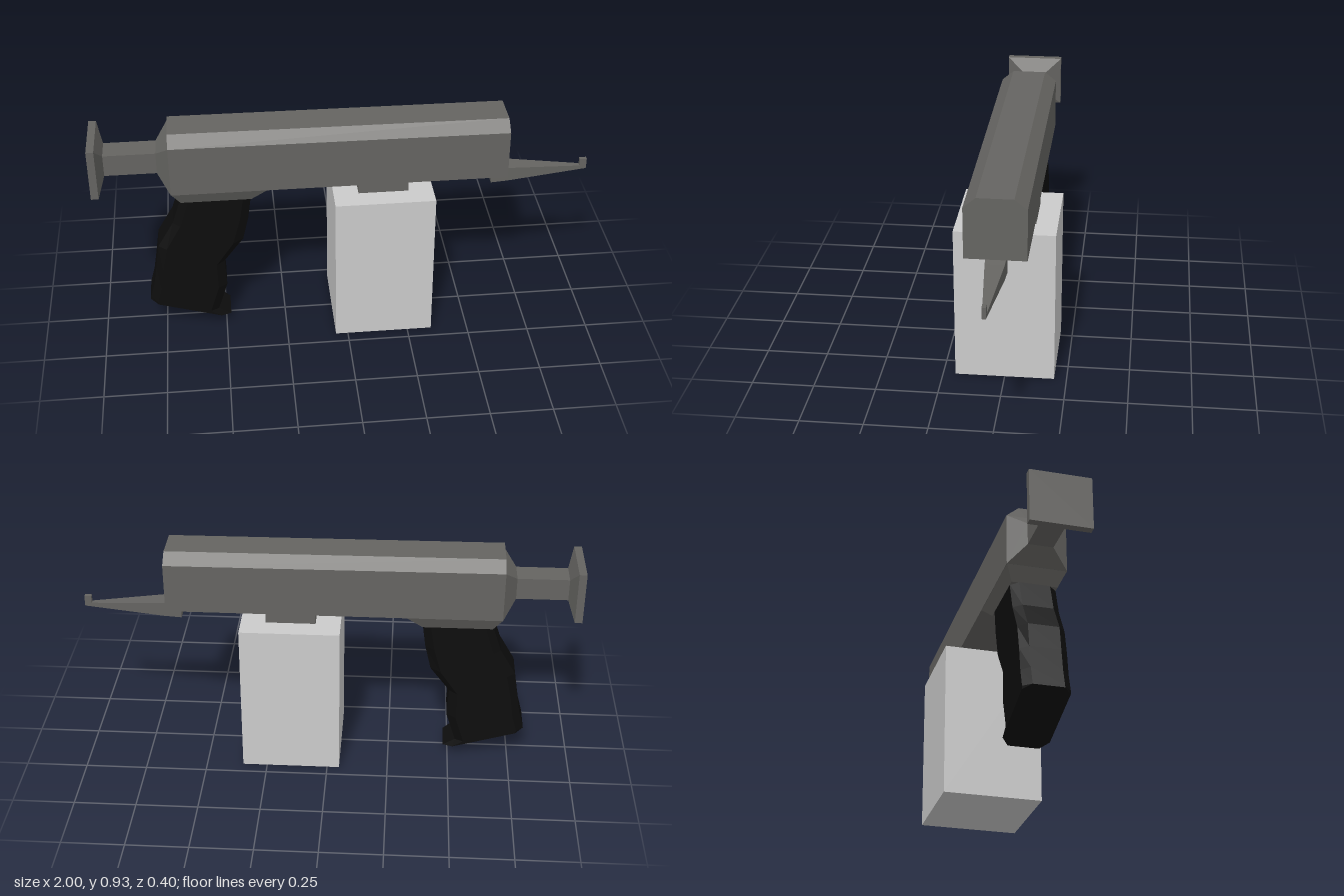
import * as THREE from 'three';

const dark = new THREE.MeshStandardMaterial({ color: 0x656461, flatShading: true });
const black = new THREE.MeshStandardMaterial({ color: 0x0d0d0d, flatShading: true });
const grey = new THREE.MeshStandardMaterial({ color: 0xcccccc, flatShading: true });

// Closed solid through a series of convex rings with equal point counts
function loft(rings) {
  const tris = [];
  const n = rings[0].length;
  for (let r = 0; r < rings.length - 1; r++) {
    const a = rings[r], b = rings[r + 1];
    for (let i = 0; i < n; i++) {
      const j = (i + 1) % n;
      tris.push([a[i], a[j], b[j]], [a[i], b[j], b[i]]);
    }
  }
  const first = rings[0], last = rings[rings.length - 1];
  for (let i = 1; i < n - 1; i++) {
    tris.push([first[0], first[i + 1], first[i]], [last[0], last[i], last[i + 1]]);
  }
  // Turn the faces outward when the signed volume is negative
  let volume = 0;
  for (const [a, b, c] of tris) volume += a.clone().cross(b).dot(c);
  if (volume < 0) tris.forEach(t => t.reverse());
  const geo = new THREE.BufferGeometry().setFromPoints(tris.flat());
  geo.computeVertexNormals();
  return geo;
}

const v = (x, y, z) => new THREE.Vector3(x, y, z);

// Upright rectangle across the x axis
const rectX = ([x, y0, y1, hz]) => [v(x, y0, hz), v(x, y1, hz), v(x, y1, -hz), v(x, y0, -hz)];

// Body section with chamfered top edges
const bodyRing = (x, drop) => [
  v(x, 0.68, 0.118), v(x, 0.89 - drop, 0.118), v(x, 0.93 - drop, 0.07),
  v(x, 0.93 - drop, -0.07), v(x, 0.89 - drop, -0.118), v(x, 0.68, -0.118),
];

// Grip section: an octagon stretched between its back and front points
function gripRing([bx, by, fx, fy]) {
  const outline = [[0, 0.06], [0.1, 0.09], [0.88, 0.09], [1, 0.06]];
  const all = [...outline, ...outline.map(([t, z]) => [t, -z]).reverse()];
  return all.map(([t, z]) => v(bx + (fx - bx) * t, by + (fy - by) * t, z));
}

export function createModel() {
  const model = new THREE.Group();
  const add = (name, geo, mat) => {
    const mesh = new THREE.Mesh(geo, mat);
    mesh.name = name;
    model.add(mesh);
    return mesh;
  };
  const box = (name, x0, x1, y0, y1, hz, mat) =>
    add(name, new THREE.BoxGeometry(x1 - x0, y1 - y0, hz * 2), mat)
      .position.set((x0 + x1) / 2, (y0 + y1) / 2, 0);

  // Long chamfered body
  add('body', loft([bodyRing(-0.69, 0), bodyRing(0.65, 0.006)]), dark);

  // Rear plunger: flared plate, square rod and collar
  add('rearStock', loft([
    [-1, 0.683, 0.897, 0.12], [-0.97, 0.683, 0.897, 0.12], [-0.945, 0.745, 0.835, 0.05],
    [-0.74, 0.745, 0.835, 0.05], [-0.69, 0.68, 0.89, 0.118],
  ].map(rectX)), dark);

  // Tapered mount above the grip
  const mountRing = (x0, x1, y, hz) => [v(x0, y, hz), v(x1, y, hz), v(x1, y, -hz), v(x0, y, -hz)];
  add('gripMount', loft([
    mountRing(-0.69, -0.31, 0.681, 0.117), mountRing(-0.655, -0.375, 0.625, 0.09),
  ]), dark);

  // Contoured grip with a lip at its lower front
  add('grip', loft([
    [-0.655, 0.63, -0.375, 0.63], [-0.695, 0.51, -0.39, 0.52], [-0.76, 0.4, -0.415, 0.415],
    [-0.775, 0.3, -0.495, 0.31], [-0.79, 0.21, -0.49, 0.19], [-0.808, 0.145, -0.53, 0.065],
    [-0.81, 0.135, -0.48, 0.035],
  ].map(gripRing)), black);

  // Magazine block and its connector
  box('magazineConnector', 0.05, 0.25, 0.635, 0.685, 0.115, dark);
  box('magazine', -0.05, 0.35, 0, 0.64, 0.2, grey);

  // Tapering front prong with an upright sight at the tip
  add('frontProng', loft([
    [0.6, 0.607, 0.682, 0.04], [0.67, 0.61, 0.67, 0.037], [1, 0.63, 0.643, 0.007],
  ].map(rectX)), dark);
  box('tipSight', 0.972, 1, 0.632, 0.675, 0.008, dark);

  return model;
}
